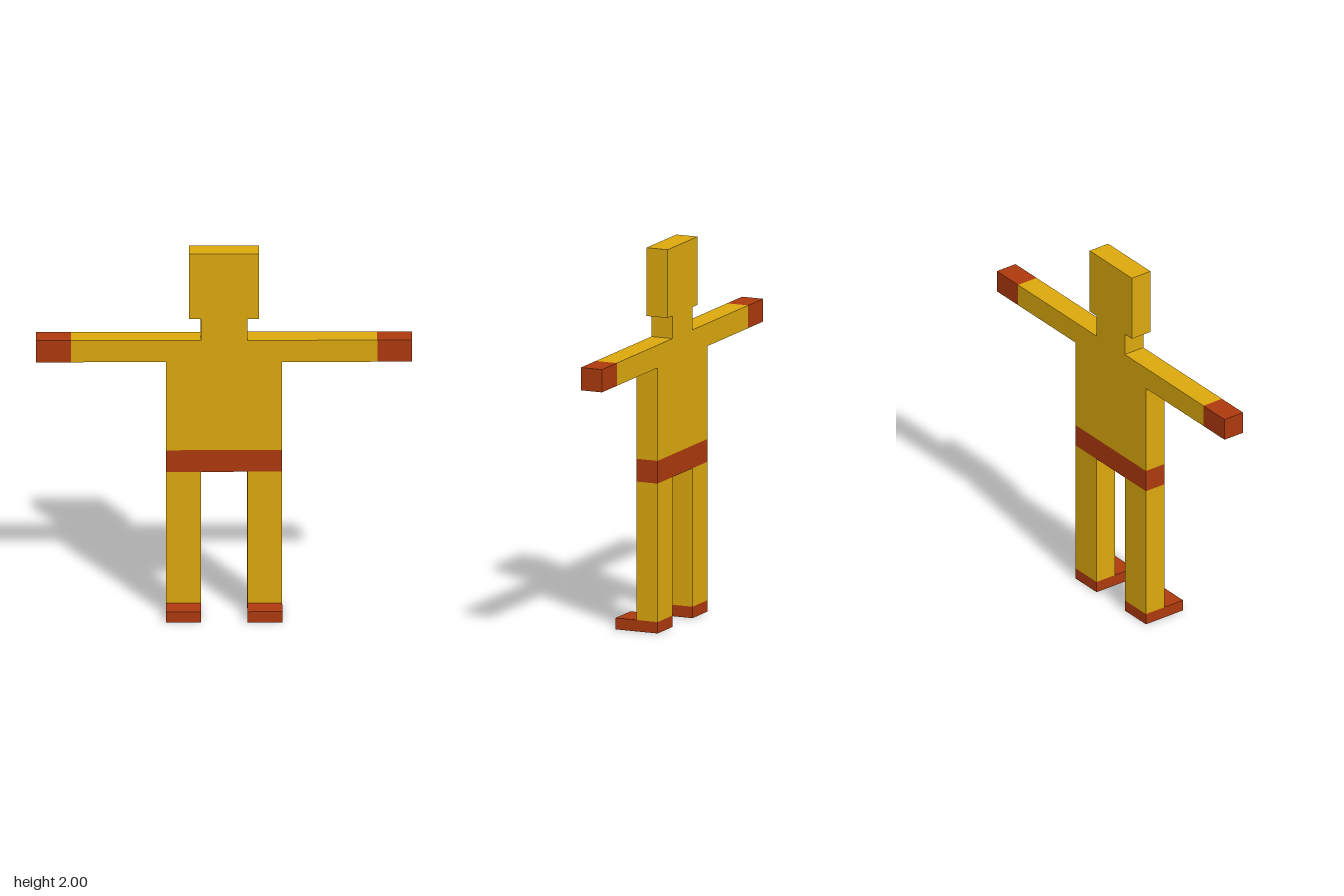
import * as THREE from 'three';

const yellow = new THREE.MeshStandardMaterial({ color: 0xdca80e });
const red = new THREE.MeshStandardMaterial({ color: 0xad390e });
const BACK = -0.12;

export function createModel() {
  const model = new THREE.Group();
  model.name = 'figure';

  // Box given by its extents; the body is one flat slab from BACK to z = 0
  function block(name, material, x0, x1, y0, y1, front = 0) {
    const mesh = new THREE.Mesh(new THREE.BoxGeometry(x1 - x0, y1 - y0, front - BACK), material);
    mesh.position.set((x0 + x1) / 2, (y0 + y1) / 2, (front + BACK) / 2);
    mesh.name = name;
    model.add(mesh);
  }

  // Mirrored pair; extents are given for the left (+x) side
  function pair(name, material, x0, x1, y0, y1, front) {
    block('left' + name, material, x0, x1, y0, y1, front);
    block('right' + name, material, -x1, -x0, y0, y1, front);
  }

  // Head, neck and trunk
  block('head', yellow, -0.18, 0.18, 1.64, 2);
  block('neck', yellow, -0.12, 0.12, 1.52, 1.64);
  block('torso', yellow, -0.3, 0.3, 0.91, 1.52);
  block('belt', red, -0.3, 0.3, 0.79, 0.91);

  // Outstretched arms and hands
  pair('Arm', yellow, 0.3, 0.79, 1.4, 1.52);
  pair('Hand', red, 0.79, 0.97, 1.4, 1.52);

  // Legs, with feet reaching forward
  pair('Leg', yellow, 0.12, 0.3, 0.06, 0.79);
  pair('Foot', red, 0.12, 0.3, 0, 0.06, 0.12);

  return model;
}
